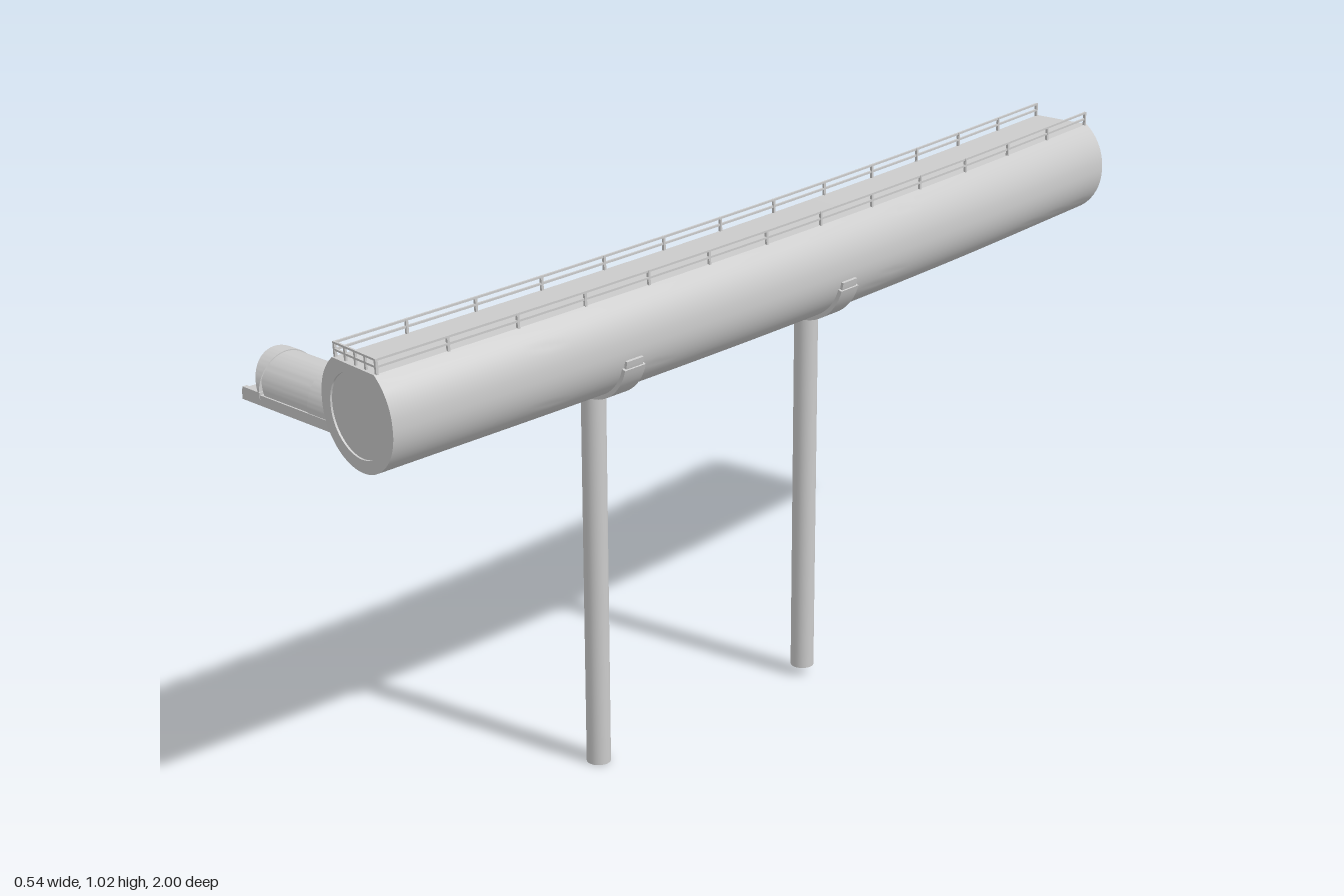
import * as THREE from 'three';
import { toCreasedNormals } from 'three/addons/utils/BufferGeometryUtils.js';

const material = new THREE.MeshStandardMaterial({ color: 0xcccccc, side: THREE.DoubleSide });

// Centre line, evenly spaced in z so that z maps straight to the curve parameter
const Z_END = 0.99;
const path = new THREE.CatmullRomCurve3([
  [0.105, 0.842], [0.145, 0.866], [0.16, 0.884], [0.143, 0.895], [0.095, 0.898],
].map(([x, y], i) => new THREE.Vector3(x, y, Z_END * (1 - i / 2))), false, 'catmullrom', 0.5);

// Point at sideways offset u and upward offset v from the centre line
function onPath(u, v, z) {
  const t = THREE.MathUtils.clamp((Z_END - z) / (2 * Z_END), 0, 1);
  const forward = path.getTangent(t).negate();
  const right = new THREE.Vector3(0, 1, 0).cross(forward).normalize();
  const up = forward.clone().cross(right);
  return path.getPoint(t).addScaledVector(right, u).addScaledVector(up, v);
}

// Moves every vertex of a straight geometry onto the curved path
function bend(geo, rule = (x, y, z) => [x, y, z]) {
  const p = geo.attributes.position;
  for (let i = 0; i < p.count; i++) {
    const q = onPath(...rule(p.getX(i), p.getY(i), p.getZ(i)));
    p.setXYZ(i, q.x, q.y, q.z);
  }
  return toCreasedNormals(geo, 0.35);
}

// Straight box laid along the path
function bentBox(w, h, u, v, z0, z1, segs = 1) {
  return bend(new THREE.BoxGeometry(w, h, z1 - z0, 1, 1, segs).translate(u, v, (z0 + z1) / 2));
}

// Curved block between two angles (degrees from the top, clockwise), z values and radii
function shell(a0, a1, z0, z1, inner, outer, aSegs, zSegs) {
  const rad = THREE.MathUtils.degToRad;
  return bend(new THREE.BoxGeometry(1, 1, 1, aSegs, 1, zSegs), (x, y, z) => {
    const a = rad(a0 + (a1 - a0) * (x + 0.5));
    const ro = typeof outer === 'function' ? outer(a) : outer;
    const r = inner + (ro - inner) * (y + 0.5);
    return [r * Math.sin(a), r * Math.cos(a), z0 + (z1 - z0) * (z + 0.5)];
  });
}

// Round tube with a flat walkway cut across its top
const FLAT = THREE.MathUtils.degToRad(33.75);
function tubeRadius(a) {
  const b = Math.abs(a);
  if (b <= FLAT + 1e-4) return 0.093 / Math.cos(b);
  return THREE.MathUtils.lerp(0.1118, 0.1055, Math.min(1, (b - FLAT) / 0.9));
}

// Half-round vault running toward -x; its far end leans outward at the top
function vault(r, wall, x0, x1, lean) {
  const s = new THREE.Shape();
  s.absarc(0, 0, r, 0, Math.PI, false);
  s.absarc(0, 0, r - wall, Math.PI, 0, true);
  const g = new THREE.ExtrudeGeometry(s, { depth: x0 - x1, bevelEnabled: false, curveSegments: 24 });
  g.rotateY(-Math.PI / 2).translate(x0, 0, 0);
  const p = g.attributes.position;
  for (let i = 0; i < p.count; i++) {
    if (p.getX(i) < x1 + 1e-4) p.setX(i, x1 + lean * (1 - p.getY(i) / r));
  }
  return toCreasedNormals(g, 0.5).translate(0, 0.788, 0.88);
}

// Pointed plate sloping from (x0, y0) to (x1, y1)
function gangway(x0, y0, x1, y1, z, width) {
  const len = Math.hypot(x1 - x0, y1 - y0), w = width / 2;
  const s = new THREE.Shape([[0, -w], [len - 0.03, -w], [len, -w * 0.25], [len, w * 0.25], [len - 0.03, w], [0, w]]
    .map(([x, y]) => new THREE.Vector2(x, y)));
  return new THREE.ExtrudeGeometry(s, { depth: 0.008, bevelEnabled: false })
    .rotateX(Math.PI / 2).rotateZ(Math.atan2(y1 - y0, x1 - x0)).translate(x0, y0, z);
}

export function createModel() {
  const root = new THREE.Group();
  root.name = 'elevatedTunnel';
  const group = (name) => {
    const g = new THREE.Group();
    g.name = name;
    root.add(g);
    return g;
  };
  const add = (name, geo, parent = root) => {
    const m = new THREE.Mesh(geo, material);
    m.name = name;
    parent.add(m);
    return m;
  };

  // Main tube, its inner floor and front bulkhead
  add('tube', shell(-180, 180, -Z_END, Z_END, 0.08, tubeRadius, 64, 40));
  add('innerFloor', bentBox(0.1, 0.01, 0, -0.066, -0.985, 0.97, 30));
  add('frontBulkhead', bend(new THREE.CylinderGeometry(0.082, 0.082, 0.01, 48)
    .rotateX(Math.PI / 2).translate(0, 0, 0.981)));

  // Railings along both walkway edges and across the front
  const railing = group('railing');
  for (const side of [-1, 1]) {
    const u = side * 0.061;
    for (const v of [0.106, 0.119]) add('sideRail', bentBox(0.004, 0.004, u, v, -0.985, 0.985, 36), railing);
    for (let i = 0; i <= 13; i++) {
      const z = 0.983 - i * 0.1512;
      add('railPost', bentBox(0.005, 0.036, u, 0.103, z - 0.0025, z + 0.0025), railing);
    }
  }
  for (const v of [0.106, 0.119]) add('frontRail', bentBox(0.122, 0.004, 0, v, 0.981, 0.985), railing);
  for (const u of [-0.03, 0, 0.03]) add('frontRailPost', bentBox(0.005, 0.03, u, 0.105, 0.981, 0.985), railing);

  // Columns with saddle collars
  for (const [z, x, base] of [[0.46, 0.14, 0], [-0.105, 0.157, 0.02]]) {
    const support = group('support');
    const top = onPath(0, -0.09, z).y;
    add('column', new THREE.CylinderGeometry(0.0235, 0.0235, top - base, 24)
      .translate(x, (top + base) / 2, z), support);
    add('collar', shell(107, 253, z - 0.025, z + 0.025, 0.1, 0.114, 28, 1), support);
    for (const a of [99, 249]) add('collarTip', shell(a, a + 12, z - 0.02, z + 0.02, 0.1, 0.111, 3, 1), support);
  }

  // Raised panels on the right side
  const panels = group('sidePanels');
  add('longPanel', shell(-122, -66, -0.07, 0.12, 0.1, 0.112, 12, 6), panels);
  add('rearPanel', shell(-120, -68, 0.14, 0.41, 0.1, 0.1095, 12, 8), panels);
  add('hatch', shell(-108, -68, 0.55, 0.73, 0.1, 0.112, 8, 5), panels);
  add('hatchStep', shell(-114, -108, 0.6, 0.68, 0.1, 0.112, 2, 3), panels);

  // Sloping pointed gangways
  add('gangway', gangway(0.085, 0.92, -0.055, 0.782, 0.192, 0.082));
  add('gangway', gangway(0.085, 0.92, -0.035, 0.788, 0.312, 0.066));

  // Side passage
  const passage = group('sidePassage');
  add('flange', vault(0.075, 0.02, 0.03, -0.008, 0.008), passage);
  add('innerVault', vault(0.068, 0.008, 0.03, -0.096, 0.01), passage);
  add('outerVault', vault(0.066, 0.008, -0.08, -0.245, 0.033), passage);
  add('endRim', vault(0.068, 0.012, -0.225, -0.26, 0.033), passage);
  add('passageFloor', new THREE.BoxGeometry(0.325, 0.02, 0.136).translate(-0.1125, 0.777, 0.88), passage);
  for (const side of [-1, 1]) {
    add('floorCurb', new THREE.BoxGeometry(0.05, 0.014, 0.01).translate(-0.247, 0.785, 0.88 + side * 0.064), passage);
  }
  return root;
}
